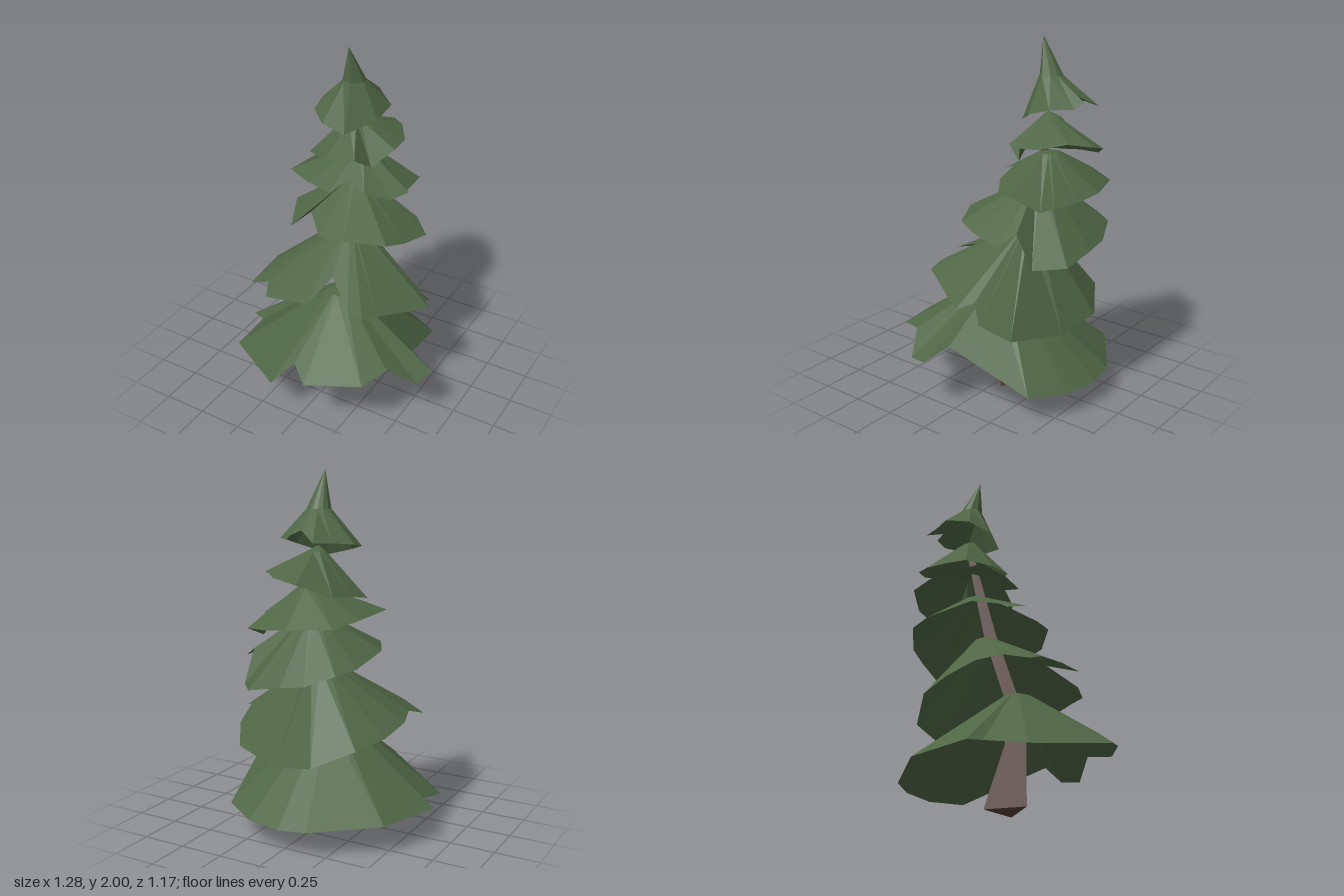
import * as THREE from 'three';

const foliage = new THREE.MeshStandardMaterial({ color: 0x4f6645, flatShading: true, side: THREE.DoubleSide });
foliage.name = 'pine green';
const bark = new THREE.MeshStandardMaterial({ color: 0x5a423c, flatShading: true, side: THREE.DoubleSide });
bark.name = 'bark brown';

// Ragged open skirt: tip, small shoulder ring, then an uneven rim of [x, y, z] points
function tier(name, tip, shoulder, radius, rim) {
  const pos = [];
  const ring = rim.map(([x, , z]) => {
    const a = Math.atan2(z - shoulder[2], x - shoulder[0]);
    return [shoulder[0] + Math.cos(a) * radius, shoulder[1], shoulder[2] + Math.sin(a) * radius];
  });
  rim.forEach((p, i) => {
    const j = (i + 1) % rim.length;
    pos.push(...tip, ...ring[i], ...ring[j]);
    pos.push(...ring[i], ...p, ...rim[j], ...ring[i], ...rim[j], ...ring[j]);
  });
  return makeMesh(name, pos, foliage);
}

function makeMesh(name, pos, material) {
  const g = new THREE.BufferGeometry();
  g.setAttribute('position', new THREE.Float32BufferAttribute(pos, 3));
  g.computeVertexNormals();
  const m = new THREE.Mesh(g, material);
  m.name = name;
  return m;
}

// Three-sided trunk that bends backwards as it narrows
function trunk() {
  const section = (y, x, z, s) => [[-0.055, 0.127], [0.14, -0.023], [-0.07, -0.103]]
    .map(([dx, dz]) => [x + dx * s, y, z + dz * s]);
  const rows = [
    section(0, 0.01, -0.027, 1),
    section(0.35, 0.0, 0.03, 0.5),
    section(0.62, 0.0, 0.0, 0.33),
    section(1.0, -0.01, -0.12, 0.3),
    section(1.58, -0.04, -0.25, 0.15),
  ];
  const pos = [...rows[0][0], ...rows[0][2], ...rows[0][1]];
  for (let r = 0; r < rows.length - 1; r++) {
    for (let i = 0; i < 3; i++) {
      const j = (i + 1) % 3, a = rows[r], b = rows[r + 1];
      pos.push(...a[i], ...a[j], ...b[j], ...a[i], ...b[j], ...b[i]);
    }
  }
  return makeMesh('trunk', pos, bark);
}

export function createModel() {
  const tree = new THREE.Group();
  tree.name = 'pineTree';
  tree.add(trunk());

  // Branch tiers from the ground up; each rim runs front, left, back, right
  tree.add(tier('branchTier1', [0.02, 0.64, 0.04], [0.02, 0.62, 0.03], 0.08, [
    [-0.12, 0.26, 0.585], [-0.03, 0.36, 0.475], [0.08, 0.31, 0.56], [0.39, 0.355, 0.455],
    [0.46, 0.39, 0.3], [0.605, 0.29, 0.21], [0.64, 0.31, 0.09], [0.49, 0.36, 0.04],
    [0.4, 0.16, -0.43], [0.2, 0.14, -0.55], [-0.01, 0.14, -0.59], [-0.17, 0.15, -0.57],
    [-0.51, 0.17, -0.34], [-0.645, 0.18, 0], [-0.55, 0.2, 0.05], [-0.57, 0.155, 0.28],
  ]));
  tree.add(tier('branchTier2', [-0.02, 0.98, -0.14], [-0.02, 0.96, -0.14], 0.07, [
    [-0.28, 0.66, 0.37], [0, 0.72, 0.385], [0.05, 0.8, 0.19], [0.22, 0.72, 0.32],
    [0.31, 0.69, 0.32], [0.36, 0.68, 0.24], [0.535, 0.62, -0.05], [0.46, 0.65, -0.12],
    [0.5, 0.55, -0.18], [0.41, 0.46, -0.32], [0.1, 0.42, -0.44], [-0.15, 0.47, -0.485],
    [-0.35, 0.56, -0.36], [-0.44, 0.6, -0.2], [-0.475, 0.65, -0.03], [-0.44, 0.68, 0.1],
    [-0.46, 0.63, 0.26], [-0.33, 0.69, 0.275],
  ]));
  tree.add(tier('branchTier3', [-0.02, 1.26, -0.2], [-0.02, 1.23, -0.2], 0.07, [
    [-0.23, 1.04, 0.17], [-0.18, 1.08, 0.04], [-0.05, 1.03, 0.17], [0.11, 1.05, 0.185],
    [0.32, 1.03, 0.08], [0.37, 1.0, -0.04], [0.41, 0.97, -0.23], [0.32, 1.03, -0.29],
    [0.32, 0.85, -0.39], [0.2, 0.86, -0.53], [0, 0.9, -0.54], [-0.14, 0.92, -0.53],
    [-0.29, 0.98, -0.47], [-0.35, 1.0, -0.36], [-0.365, 1.05, -0.1],
  ]));
  tree.add(tier('branchTier4', [-0.02, 1.41, -0.26], [-0.02, 1.395, -0.26], 0.06, [
    [-0.2, 1.26, 0.035], [-0.05, 1.25, 0.065], [0.01, 1.29, -0.04], [0.12, 1.24, -0.03],
    [0.24, 1.2, -0.11], [0.3, 1.22, -0.21], [0.21, 1.13, -0.36], [0.24, 1.18, -0.47],
    [0.1, 1.19, -0.52], [-0.05, 1.21, -0.55], [-0.28, 1.22, -0.48], [-0.35, 1.25, -0.32],
    [-0.365, 1.265, -0.04],
  ]));
  tree.add(tier('branchTier5', [-0.05, 1.61, -0.22], [-0.05, 1.58, -0.24], 0.05, [
    [-0.15, 1.37, -0.06], [0.05, 1.42, -0.04], [0.1, 1.35, -0.14], [0.2, 1.45, -0.22],
    [0.2, 1.46, -0.34], [0.12, 1.49, -0.46], [0.02, 1.47, -0.555], [-0.1, 1.44, -0.54],
    [-0.25, 1.37, -0.42], [-0.28, 1.36, -0.28], [-0.31, 1.34, -0.16],
  ]));
  tree.add(tier('crown', [-0.065, 2.0, -0.175], [-0.06, 1.8, -0.23], 0.065, [
    [-0.17, 1.58, -0.07], [-0.03, 1.545, -0.065], [0.1, 1.61, -0.2], [0.11, 1.65, -0.34],
    [0.02, 1.65, -0.43], [-0.03, 1.68, -0.46], [-0.06, 1.7, -0.41], [-0.16, 1.645, -0.47],
    [-0.22, 1.64, -0.38], [-0.3, 1.63, -0.29], [-0.275, 1.61, -0.16],
  ]));
  return tree;
}
